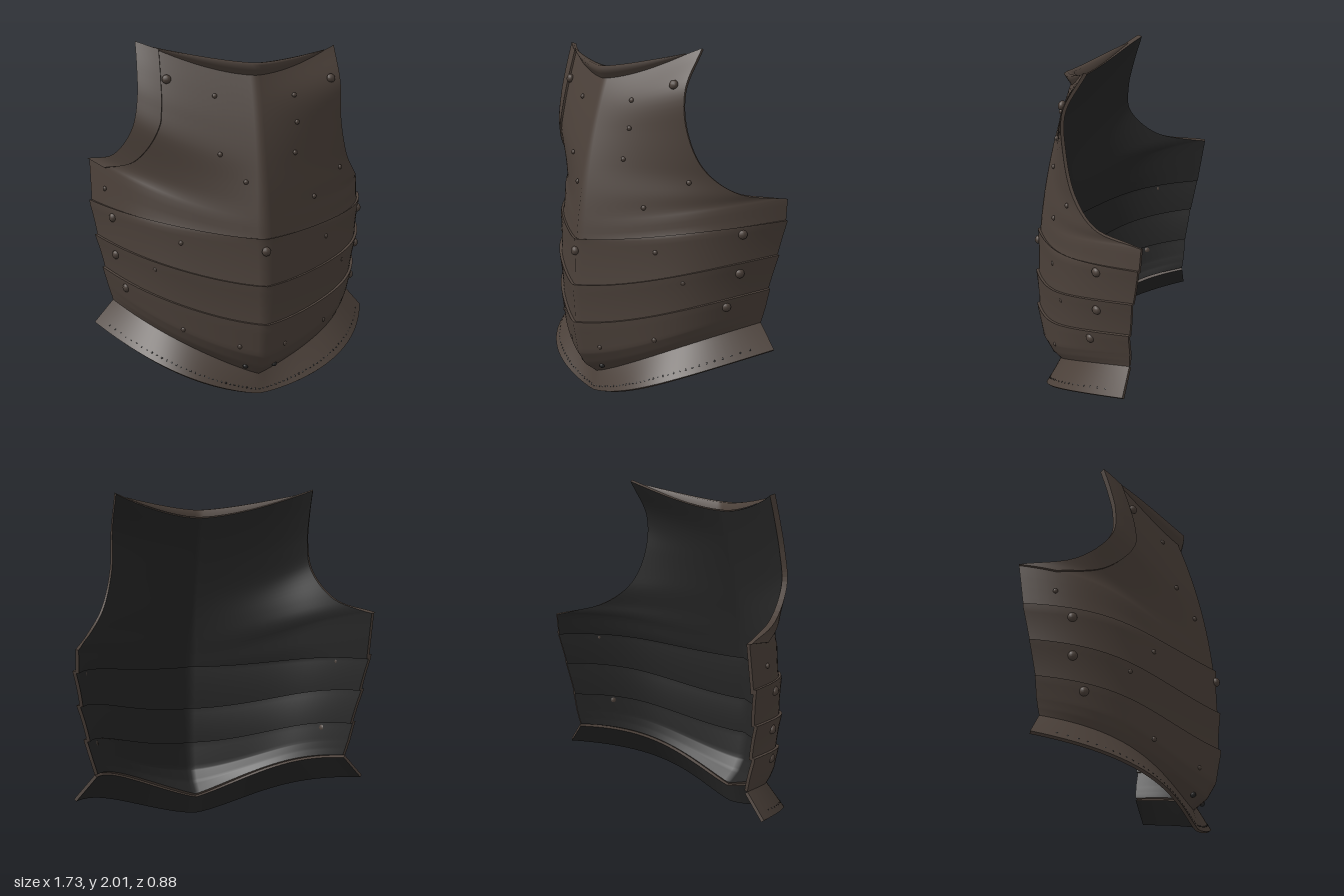
import * as THREE from 'three';

// Rows below the armholes, bottom to top:
// [centre y, centre z, sweep exponent, roundness, side x, side y, side z]
const LOWER = [
  [0, 0.29, 1.4, 1, 0.86, 0.33, -0.32],
  [0.11, 0.265, 1.15, 0.5, 0.745, 0.46, -0.33],
  [0.17, 0.345, 1.3, 0.2, 0.755, 0.5, -0.335],
  [0.25, 0.39, 1.45, 0.1, 0.765, 0.55, -0.34],
  [0.42, 0.415, 1.6, 0, 0.785, 0.65, -0.34],
  [0.64, 0.418, 1.6, 0, 0.825, 0.85, -0.365],
  [0.91, 0.402, 1.6, 0, 0.85, 1.04, -0.4],
];
const CORNER = LOWER.length, TOP = 15;

// Armhole edges from the side corner up to the shoulder
const edge = (...p) => new THREE.CatmullRomCurve3(p.map((a) => new THREE.Vector3(...a)));
const leftArmhole = edge([0.85, 1.17, -0.41], [0.74, 1.21, -0.14], [0.625, 1.34, 0.01],
  [0.56, 1.55, 0.08], [0.55, 1.77, 0.085], [0.55, 1.985, -0.035]);
const rightArmhole = edge([0.855, 1.31, -0.44], [0.735, 1.37, -0.14], [0.66, 1.53, 0.02],
  [0.635, 1.69, 0.025], [0.63, 1.85, -0.01], [0.63, 2, -0.055]);

const mix = (a, b, k) => a.map((v, i) => v + (b[i] - v) * k);

function rowAt(t, isLeft) {
  if (t < CORNER - 1) {
    const i = Math.floor(t);
    return mix(LOWER[i], LOWER[i + 1], t - i);
  }
  const v = Math.max(0, (t - CORNER) / (TOP - CORNER));
  const side = (isLeft ? leftArmhole : rightArmhole).getPoint(v);
  const row = [1 + 0.84 * v, 0.392 - 0.1 * v - 0.102 * v * v, 1.6, 0, ...side.toArray()];
  return t < CORNER ? mix(LOWER[CORNER - 1], row, t - CORNER + 1) : row;
}

// Ridged cross-section: 0 at the middle, 1 at the side
const drop = (u, k) =>
  (1 - k) * (0.48 * u + 0.12 * u * u + 0.4 * u ** 7) + k * u ** 3.5;

// Point on the plate: t picks the row, f runs from -1 to 1 across it
function point(t, f) {
  const a = Math.abs(f);
  const [yc, zc, sweep, round, x, y, z] = rowAt(t, f >= 0);
  const w = t > CORNER - 1 ? Math.max(0.86, x) : x;
  const q = drop(a * x / w, round) / drop(x / w, round);
  return new THREE.Vector3(f * x, yc + (y - yc) * a ** sweep, zc + (z - zc) * q);
}

const spread = (s) => Math.sign(s) * (1 - (1 - Math.abs(s)) ** 1.3);

function gridIndex(nu, nv, base = 0, flip = false) {
  const idx = [];
  for (let j = 0; j < nv; j++) for (let i = 0; i < nu; i++) {
    const a = base + j * (nu + 1) + i, b = a + 1, c = a + nu + 1, d = c + 1;
    if (flip) idx.push(a, c, b, b, c, d);
    else idx.push(a, b, c, b, d, c);
  }
  return idx;
}

function geometry(pos, idx) {
  const g = new THREE.BufferGeometry();
  g.setAttribute('position', new THREE.Float32BufferAttribute(pos, 3));
  g.setIndex(idx);
  g.computeVertexNormals();
  return g;
}

// Curved sheet with thickness: outer face and rim in one material, lining in another
function sheet(name, mats, fn, nu, nv, lift, thick) {
  const base = [];
  for (let j = 0; j <= nv; j++) for (let i = 0; i <= nu; i++)
    base.push(...fn(i / nu, j / nv).toArray());
  const nrm = geometry(base, gridIndex(nu, nv)).attributes.normal.array;
  const layer = (depth) => base.map((p, k) =>
    p + nrm[k] * (lift(Math.floor(k / 3 / (nu + 1)) / nv) - depth));
  const outer = layer(0), inner = layer(thick), n = base.length / 3;
  const pos = [...outer, ...inner], idx = gridIndex(nu, nv);
  // rim round the border, counter-clockwise
  const loop = [];
  for (let i = 0; i < nu; i++) loop.push(i);
  for (let j = 0; j < nv; j++) loop.push(j * (nu + 1) + nu);
  for (let i = nu; i > 0; i--) loop.push(nv * (nu + 1) + i);
  for (let j = nv; j > 0; j--) loop.push(j * (nu + 1));
  loop.forEach((a, i) => {
    const b = loop[(i + 1) % loop.length], m = pos.length / 3;
    for (const [src, k] of [[outer, a], [outer, b], [inner, a], [inner, b]])
      pos.push(src[3 * k], src[3 * k + 1], src[3 * k + 2]);
    idx.push(m, m + 2, m + 1, m + 1, m + 2, m + 3);
  });
  const split = idx.length;
  idx.push(...gridIndex(nu, nv, n, true));
  const g = geometry(pos, idx);
  g.addGroup(0, split, 0);
  g.addGroup(split, idx.length - split, 1);
  const mesh = new THREE.Mesh(g, mats);
  mesh.name = name;
  return mesh;
}

// Place on the plate, as t and f, that has a given x and y
function locate(x, y) {
  let best, err = Infinity;
  for (let t = 1; t <= TOP; t += 0.02) {
    const f = x / rowAt(t, x >= 0)[4];
    if (Math.abs(f) > 1) continue;
    const e = Math.abs(point(t, f).y - y);
    if (e < err) { err = e; best = [t, f]; }
  }
  return best;
}

function normalAt(t, f) {
  const e = 0.02, du = point(t, f + e).sub(point(t, f - e));
  const dv = point(Math.min(TOP, t + e), f).sub(point(Math.max(0, t - e), f));
  return du.cross(dv).normalize();
}

export function createModel() {
  const model = new THREE.Group();
  model.name = 'breastplate';
  const steel = new THREE.MeshStandardMaterial({ color: 0x4c413a });
  steel.name = 'brown steel';
  const lining = new THREE.MeshStandardMaterial({ color: 0x252525 });
  lining.name = 'dark lining';
  const mats = [steel, lining];

  // Main plates, each lame standing proud at its upper edge
  const flat = () => 0, proud = (v) => 0.016 * v * v;
  const plates = [
    ['waistFlange', 0, 1, 8, flat],
    ['lowerLame', 1, 4.08, 20, proud],
    ['middleLame', 4, 5.06, 10, proud],
    ['upperLame', 5, 6.1, 10, proud],
    ['chestPlate', 6, TOP, 36, flat],
  ];
  for (const [name, t0, t1, nv, lift] of plates)
    model.add(sheet(name, mats,
      (u, v) => point(t0 + (t1 - t0) * v, spread(2 * u - 1)), 56, nv, lift, 0.018));

  // Raised band along the right armhole
  model.add(sheet('armholeBand', mats,
    (u, v) => point(CORNER + (TOP - CORNER) * v, -1 + u * (0.08 + 0.11 * Math.min(1, v * 2))),
    6, 32, () => 0.012, 0.014));

  // Rolled collar, tapering towards the shoulders
  const roll = [[0, -0.04], [0.03, 0], [0.05, 0.028], [0.03, 0.043], [-0.01, 0.043], [-0.02, 0]];
  const collarPos = [], nc = 40;
  for (const [dz, dy] of roll) for (let i = 0; i <= nc; i++) {
    const s = 2 * i / nc - 1, w = 0.08 + 0.92 * (1 - s * s);
    const p = point(TOP, s * 0.86);
    collarPos.push(p.x, p.y + dy * w, p.z + dz * w);
  }
  const collar = new THREE.Mesh(geometry(collarPos, gridIndex(nc, roll.length - 1)), steel);
  collar.name = 'rolledCollar';
  model.add(collar);

  // Rivets, domed along the plate normal
  const dome = new THREE.SphereGeometry(1, 12, 8);
  const zAxis = new THREE.Vector3(0, 0, 1);
  const stud = (name, t, f, r, h, mat, lift = 0) => {
    const n = normalAt(t, f), m = new THREE.Mesh(dome, mat);
    m.name = name;
    m.position.copy(point(t, f)).addScaledVector(n, lift);
    m.quaternion.setFromUnitVectors(zAxis, n);
    m.scale.set(r, r, h);
    model.add(m);
  };
  const rivets = (name, r, h, mat, lift, places) => {
    for (const [x, y] of places) stud(name, ...locate(x, y), r, h, mat, lift);
  };
  for (const s of [-1, 1]) {
    rivets('largeRivet', 0.026, 0.02, steel, 0.01,
      [[s * 0.48, 1.79], [s * 0.755, 0.99], [s * 0.74, 0.77], [s * 0.69, 0.58]]);
    rivets('smallRivet', 0.014, 0.011, steel, 0.004,
      [[s * 0.23, 1.7], [s * 0.22, 1.38], [s * 0.43, 0.88], [s * 0.56, 0.72],
        [s * 0.42, 0.38], [s * 0.13, 0.3]]);
    rivets('darkRivet', 0.016, 0.014, lining, 0.002, [[s * 0.085, 0.17]]);
  }
  rivets('centreRivet', 0.026, 0.02, steel, 0.01, [[0, 0.85]]);
  rivets('smallRivet', 0.014, 0.011, steel, 0.004,
    [[0.24, 1.55], [0.56, 1.27], [0.35, 1.12], [-0.09, 1.23], [-0.79, 1.15]]);

  // Stitch holes along the flange
  for (let i = -32; i <= 32; i++) stud('stitchHole', 0.22, i / 34, 0.005, 0.002, lining);

  return model;
}
